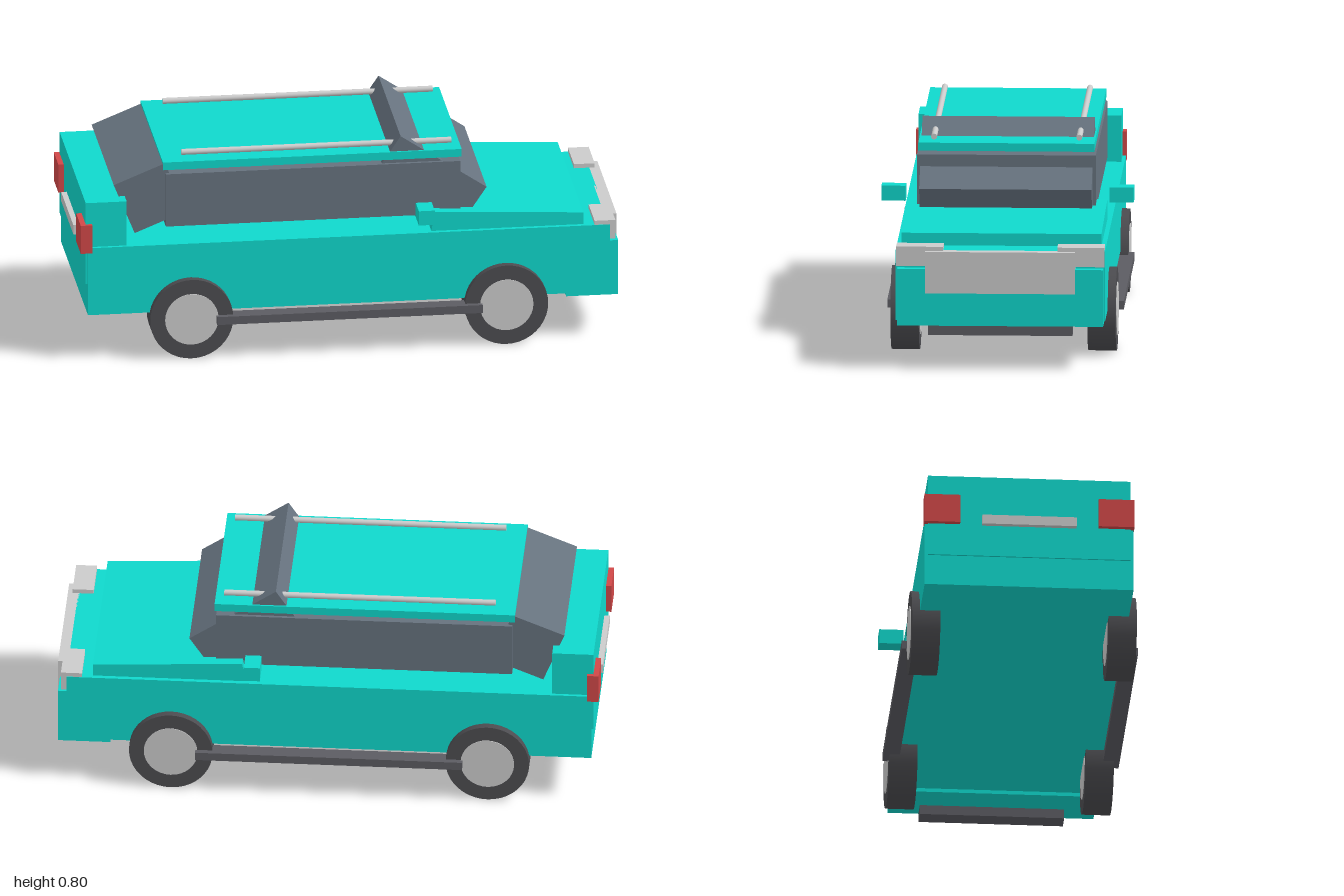
import * as THREE from 'three';

const mat = (color) => new THREE.MeshStandardMaterial({ color });

export function createModel() {
  const car = new THREE.Group();
  car.name = 'car';
  const paint = mat(0x0fd8cc), glass = mat(0x66727e), rubber = mat(0x4c4c50);
  const plastic = mat(0x5c5c62), red = mat(0xd04848), grey = mat(0xcccccc);

  const add = (name, geometry, material) => {
    const mesh = new THREE.Mesh(geometry, material);
    mesh.name = name;
    car.add(mesh);
    return mesh;
  };
  // Box given by its lower and upper limits on each axis
  const box = (name, material, [x0, x1], [y0, y1], [z0, z1]) => {
    const mesh = add(name, new THREE.BoxGeometry(x1 - x0, y1 - y0, z1 - z0), material);
    mesh.position.set((x0 + x1) / 2, (y0 + y1) / 2, (z0 + z1) / 2);
    return mesh;
  };
  // Box centred across the car
  const wide = (name, material, xs, ys, half) => box(name, material, xs, ys, [-half, half]);
  // The same box on both sides
  const pair = (name, material, xs, ys, [z0, z1]) => {
    box(name, material, xs, ys, [z0, z1]);
    box(name, material, xs, ys, [-z1, -z0]);
  };
  // Block leaning about the z axis
  const leaning = (name, material, x, y, length, height, width, angle) => {
    const mesh = add(name, new THREE.BoxGeometry(length, height, width), material);
    mesh.position.set(x, y, 0);
    mesh.rotation.z = angle;
  };

  // Lower body, bumper and tailgate (the nose points to +x)
  wide('body', paint, [-0.973, 0.962], [0.177, 0.44], 0.385);
  wide('frontBumper', paint, [0.8, 0.993], [0.163, 0.375], 0.379);
  wide('skidPlate', plastic, [0.917, 0.987], [0.127, 0.19], 0.266);
  wide('tailgate', paint, [-0.98, -0.828], [0.295, 0.613], 0.373);

  // Hood with a top that slopes down to the nose
  const side = new THREE.Shape([[0.3, 0.43], [0.865, 0.43], [0.865, 0.486], [0.315, 0.514]]
    .map(([x, y]) => new THREE.Vector2(x, y)));
  const hood = new THREE.ExtrudeGeometry(side, { depth: 0.736, bevelEnabled: false });
  add('hood', hood.translate(0, 0, -0.368), paint);

  // Cabin glass and roof
  wide('cabinWindows', glass, [-0.677, 0.414], [0.49, 0.695], 0.329);
  leaning('windshield', glass, 0.289, 0.595, 0.384, 0.232, 0.634, -0.592);
  leaning('rearWindow', glass, -0.735, 0.6, 0.205, 0.207, 0.634, 0.385);
  wide('roof', paint, [-0.687, 0.42], [0.71, 0.74], 0.324);

  // Front and rear fittings
  wide('grille', grey, [0.955, 1], [0.285, 0.44], 0.276);
  wide('tailgateHandle', grey, [-1, -0.97], [0.417, 0.453], 0.174);
  pair('headlight', grey, [0.905, 0.982], [0.384, 0.456], [0.21, 0.383]);
  pair('tailLight', red, [-1, -0.957], [0.42, 0.53], [0.255, 0.387]);

  // Mirrors and side steps
  pair('mirror', paint, [0.243, 0.302], [0.5, 0.556], [0.375, 0.464]);
  pair('sideStep', plastic, [-0.5, 0.484], [0.134, 0.165], [0.375, 0.435]);

  // Roof rails and wheels
  for (const s of [-1, 1]) {
    const rail = add('roofRail', new THREE.CylinderGeometry(0.011, 0.011, 1, 16), grey);
    rail.rotation.z = Math.PI / 2;
    rail.position.set(-0.112, 0.757, s * 0.267);

    for (const x of [-0.592, 0.575]) {
      const wheel = new THREE.Group();
      wheel.name = 'wheel';
      const tyre = new THREE.Mesh(new THREE.CylinderGeometry(0.154, 0.154, 0.104, 40), rubber);
      tyre.name = 'tyre';
      const hub = new THREE.Mesh(new THREE.CylinderGeometry(0.099, 0.099, 0.109, 32), grey);
      hub.name = 'hub';
      wheel.add(tyre, hub);
      wheel.rotation.x = Math.PI / 2;
      wheel.position.set(x, 0.154, s * 0.362);
      car.add(wheel);
    }
  }
  return car;
}
